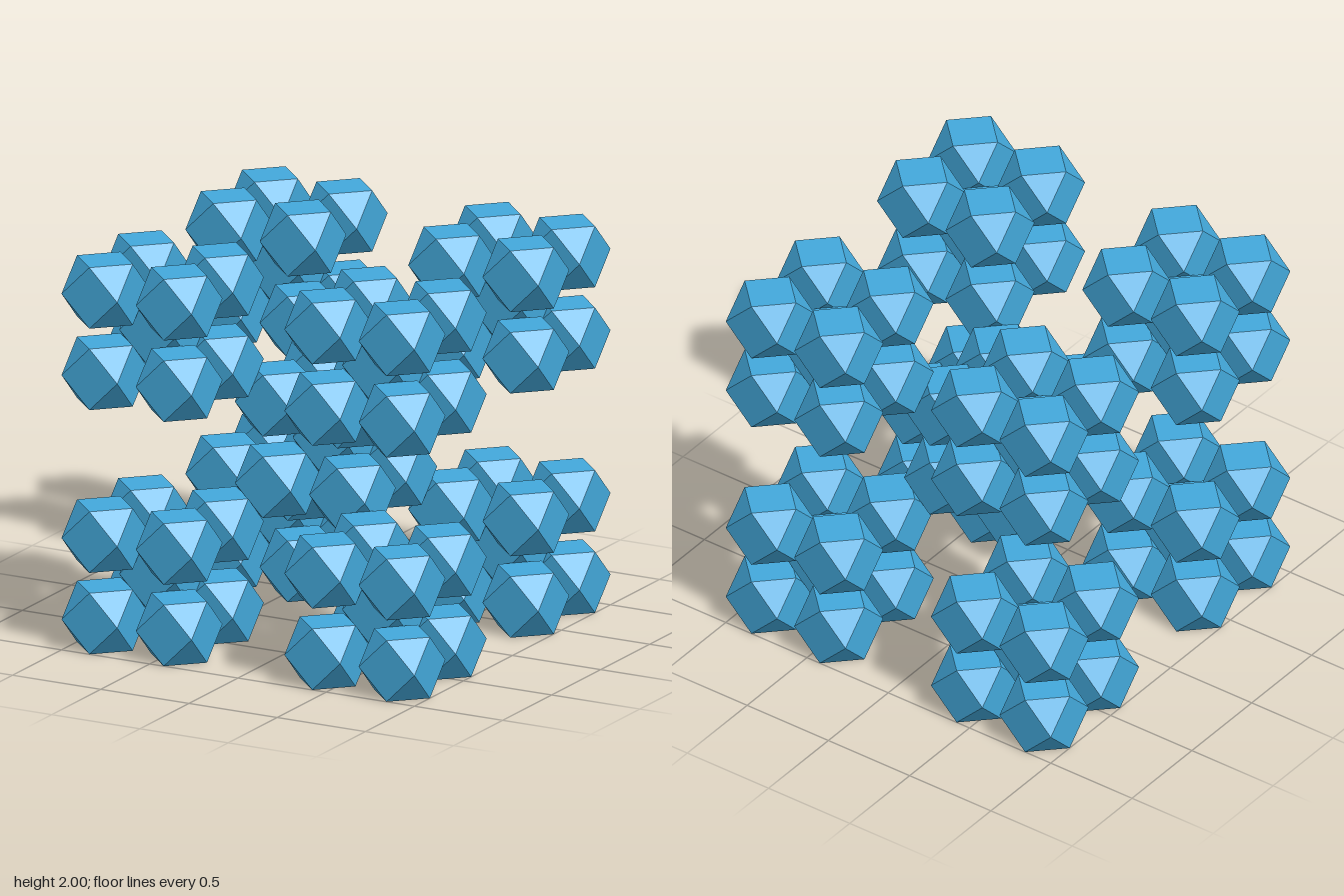
import * as THREE from 'three';
import { ConvexGeometry } from 'three/addons/geometries/ConvexGeometry.js';

const H = 3 / 19;          // half width of one solid
const STEP = (4 / 3) * H;  // neighbours meet on their triangular faces

// Cuboctahedron: the twelve edge midpoints of a cube
function cuboctahedron(h) {
  const points = [];
  for (const a of [-h, h]) for (const b of [-h, h]) {
    points.push(new THREE.Vector3(a, b, 0), new THREE.Vector3(a, 0, b), new THREE.Vector3(0, a, b));
  }
  return new ConvexGeometry(points);
}

// The centre plus the eight corners of a cube
function cubeSites(d) {
  const sites = [new THREE.Vector3()];
  for (const x of [-d, d]) for (const y of [-d, d]) for (const z of [-d, d]) {
    sites.push(new THREE.Vector3(x, y, z));
  }
  return sites;
}

export function createModel() {
  const model = new THREE.Group();
  model.name = 'cuboctahedronFractal';
  const geometry = cuboctahedron(H);
  const material = new THREE.MeshStandardMaterial({ color: 0x44aadd, flatShading: true });

  // Nine clusters of nine solids, the same arrangement at both scales
  cubeSites(3 * STEP).forEach((site, i) => {
    const cluster = new THREE.Group();
    cluster.name = i === 0 ? 'centreCluster' : `cornerCluster${i}`;
    cluster.position.copy(site);
    cubeSites(STEP).forEach((offset, j) => {
      const solid = new THREE.Mesh(geometry, material);
      solid.name = j === 0 ? 'coreSolid' : `cornerSolid${j}`;
      solid.position.copy(offset);
      cluster.add(solid);
    });
    model.add(cluster);
  });

  model.position.y = 1; // stand on the ground
  return model;
}
